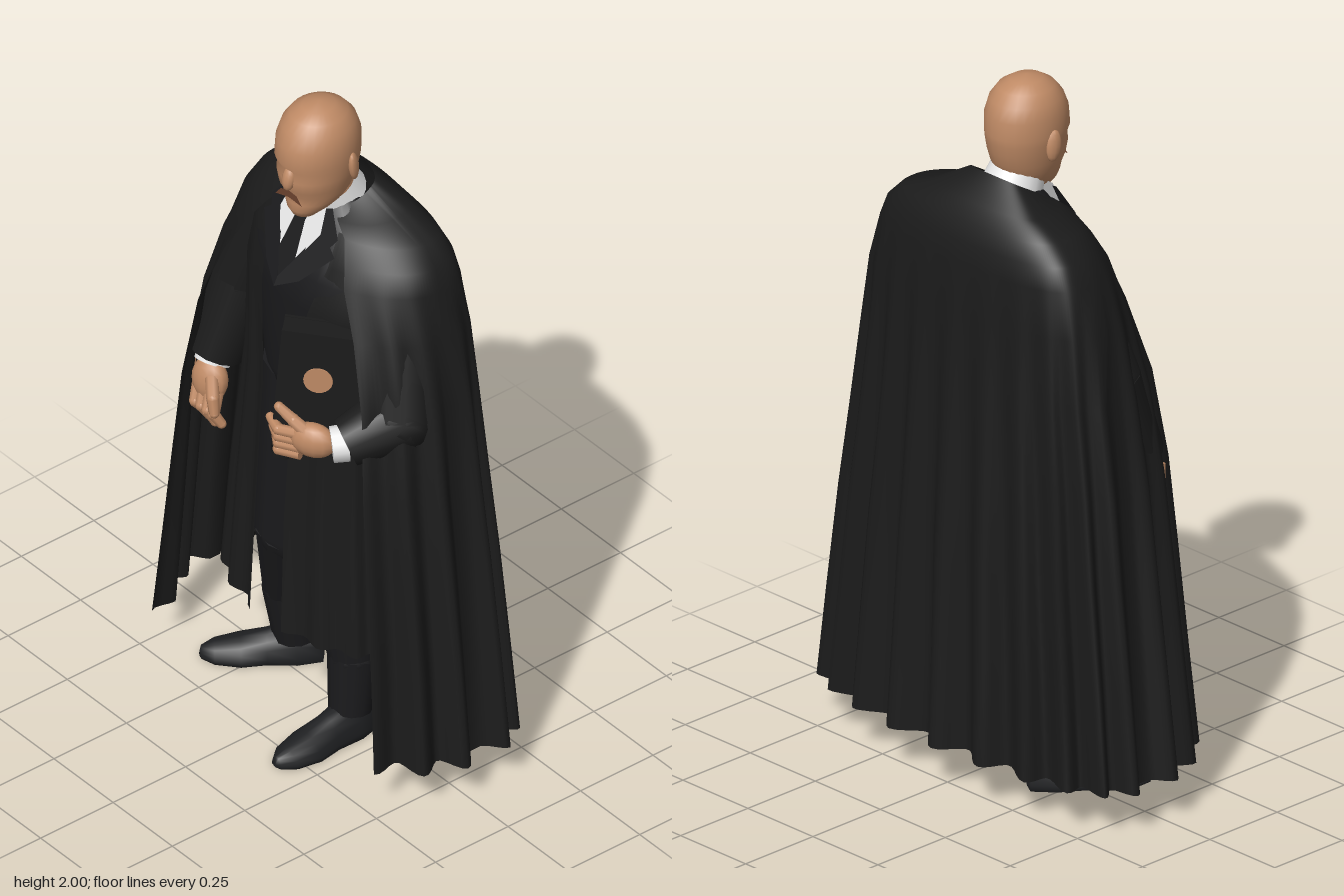
import * as THREE from 'three';
import { mergeVertices } from 'three/addons/utils/BufferGeometryUtils.js';

const mat = (name, color) => {
  const m = new THREE.MeshStandardMaterial({ color, side: THREE.DoubleSide });
  m.name = name;
  return m;
};
const V = (p) => new THREE.Vector3(...p);

// Surface through rows, bottom to top: [y, centreX, halfWidth, zBack, zFront, sweepDegrees, dropTowardsFront]
// mid says how far from back to front the widest point lies
function loft(rows, { n = 28, folds = 0, amp = 0, fadeTop = 1.45, square = 1, mid = 0.5 } = {}) {
  const pos = [], idx = [];
  rows.forEach(([y, cx, w, zb, zf, sweep = 180, drop = 0], r) => {
    const zc = zb + (zf - zb) * mid;
    const a = amp * Math.pow(THREE.MathUtils.clamp((fadeTop - y) / (fadeTop - rows[0][0]), 0, 1), 0.75);
    for (let i = 0; i <= n; i++) {
      const u = i / n, t = THREE.MathUtils.degToRad((u * 2 - 1) * sweep);
      const s = Math.sin(t), c = Math.cos(t), f = a * Math.cos(u * Math.PI * 2 * folds);
      const z = zc - (c > 0 ? Math.pow(c, square) * (zc - zb) : c * (zf - zc)) - c * f;
      pos.push(cx + s * (w + f), y - drop * (z - zb), z);
      if (r && i) {
        const b = r * (n + 1) + i, d = b - n - 1;
        idx.push(d - 1, b - 1, d, b - 1, b, d);
      }
    }
  });
  let g = new THREE.BufferGeometry();
  g.setAttribute('position', new THREE.Float32BufferAttribute(pos, 3));
  g.setIndex(idx);
  g = mergeVertices(g, 1e-4);
  g.computeVertexNormals();
  return g;
}

function outline(points) {
  return new THREE.ShapeGeometry(new THREE.Shape(points.map(([x, y]) => new THREE.Vector2(x, y))));
}

export function createModel() {
  const robe = mat('black robe cloth', 0x1b1b1b);
  const suit = mat('charcoal suit', 0x1a1a1c);
  const leather = mat('dark shoe leather', 0x1e1f21);
  const skin = mat('skin', 0xbf8a65);
  const white = mat('white linen and paper', 0xe6e6e6);
  const brown = mat('mouth brown', 0x6b422e);

  const model = new THREE.Group();
  model.name = 'robedMan';
  const add = (name, geo, m, parent = model, p = [0, 0, 0], r = [0, 0, 0], s = [1, 1, 1]) => {
    const mesh = new THREE.Mesh(geo, m);
    mesh.name = name;
    mesh.position.set(...p);
    mesh.rotation.set(...r);
    mesh.scale.set(...s);
    parent.add(mesh);
    return mesh;
  };
  const group = (name, p = [0, 0, 0], r = [0, 0, 0], parent = model) => {
    const g = new THREE.Group();
    g.name = name;
    g.position.set(...p);
    g.rotation.set(...r);
    parent.add(g);
    return g;
  };
  // Tapered limb through joints [x, y, z, radius]
  const limb = (name, joints, m, parent = model, seg = 12) => {
    const g = group(name, [0, 0, 0], [0, 0, 0], parent);
    joints.forEach((j, i) => {
      if (i < joints.length - 1) {
        const a = V(j.slice(0, 3)), b = V(joints[i + 1].slice(0, 3)), d = b.clone().sub(a);
        const part = add(name + 'Part', new THREE.CylinderGeometry(joints[i + 1][3], j[3], d.length(), seg), m, g);
        part.position.copy(a).addScaledVector(d, 0.5);
        part.quaternion.setFromUnitVectors(new THREE.Vector3(0, 1, 0), d.normalize());
        if (i) add(name + 'Joint', new THREE.SphereGeometry(j[3], seg, 8), m, g, j.slice(0, 3));
      } else if (m === skin) add(name + 'Tip', new THREE.SphereGeometry(j[3], seg, 6), m, g, j.slice(0, 3));
    });
    return g;
  };

  // Pleated cape, open at the front, neckline dropping forwards
  add('cape', loft([
    [0.12, 0, 0.58, -0.28, 0.35, 130], [0.4, 0, 0.55, -0.272, 0.335, 130],
    [0.7, 0, 0.515, -0.265, 0.325, 130], [0.95, -0.005, 0.485, -0.258, 0.31, 130],
    [1.2, -0.005, 0.45, -0.25, 0.275, 131], [1.4, -0.005, 0.415, -0.243, 0.205, 139],
    [1.53, -0.005, 0.375, -0.233, 0.155, 147], [1.59, 0, 0.345, -0.22, 0.12, 150],
    [1.64, 0, 0.295, -0.2, 0.085, 152], [1.685, -0.01, 0.2, -0.17, 0.06, 152, 0.12],
    [1.75, -0.01, 0.1, -0.108, 0.035, 145, 0.6],
  ], { n: 144, folds: 16, amp: 0.032, square: 0.55, mid: 0.39 }), robe);

  // Open gown under the cape
  add('gown', loft([
    [0.33, -0.03, 0.33, -0.15, 0.19, 169], [0.7, -0.03, 0.3, -0.15, 0.178, 169],
    [1.1, -0.02, 0.265, -0.15, 0.165, 167], [1.4, -0.01, 0.28, -0.16, 0.16, 160],
    [1.55, -0.01, 0.27, -0.15, 0.12, 152], [1.64, -0.01, 0.2, -0.12, 0.075, 145],
  ], { n: 96, folds: 15, amp: 0.014, fadeTop: 1.4 }), robe);

  // Suit jacket body
  add('jacket', loft([
    [1.02, -0.02, 0.01, 0, 0.01], [1.03, -0.02, 0.18, -0.11, 0.12], [1.1, -0.02, 0.2, -0.12, 0.13],
    [1.4, -0.01, 0.24, -0.14, 0.155], [1.5, -0.01, 0.25, -0.14, 0.143], [1.6, -0.01, 0.21, -0.13, 0.092],
    [1.67, -0.01, 0.12, -0.1, 0.055], [1.7, -0.01, 0.075, -0.08, 0.03],
  ]), suit);

  // Shirt front, tie and lapels lie on one sloping plane
  const chest = group('chestFront', [-0.02, 1.47, 0.16], [-0.44, 0, 0]);
  add('shirtFront', outline([[0, 0], [0.085, 0.17], [0.07, 0.25], [-0.07, 0.25], [-0.085, 0.17]]), white, chest);
  add('tie', outline([[0, 0], [0.035, 0.07], [0.02, 0.18], [0.028, 0.215], [-0.028, 0.215], [-0.02, 0.18], [-0.035, 0.07]]),
    suit, chest, [0, 0, 0.005]);
  for (const s of [-1, 1]) {
    const pts = [[0, -0.03], [s * 0.07, 0.02], [s * 0.15, 0.13], [s * 0.125, 0.15], [s * 0.14, 0.18],
      [s * 0.09, 0.25], [s * 0.068, 0.24], [s * 0.07, 0.15], [0, 0]];
    add('lapel', outline(pts), suit, chest, [0, 0, 0.008], [0, s * 0.15, 0]);
  }
  add('shirtCollar', new THREE.CylinderGeometry(0.077, 0.088, 0.06, 20, 1, true), white, model, [-0.01, 1.7, -0.012], [0.45, 0, 0]);
  add('neck', new THREE.CylinderGeometry(0.068, 0.072, 0.2, 18), skin, model, [-0.01, 1.72, -0.005], [0.2, 0, 0]);

  // Bald head, turned a little to its left
  const head = group('head', [-0.012, 0, 0.035], [0, 0.15, 0]);
  add('skull', loft([
    [1.662, 0, 0.003, 0.06, 0.07], [1.668, 0, 0.035, 0.01, 0.088], [1.69, 0, 0.058, -0.05, 0.1],
    [1.715, 0, 0.077, -0.085, 0.1], [1.74, 0, 0.087, -0.1, 0.1], [1.765, 0, 0.094, -0.112, 0.115],
    [1.8, 0, 0.102, -0.122, 0.12], [1.83, 0, 0.105, -0.127, 0.115], [1.85, 0, 0.108, -0.129, 0.126],
    [1.9, 0, 0.107, -0.127, 0.12], [1.94, 0, 0.096, -0.113, 0.103], [1.97, 0, 0.075, -0.088, 0.078],
    [1.99, 0, 0.043, -0.053, 0.045], [2.0, 0, 0, -0.005, -0.005],
  ]), skin, head);
  add('nose', new THREE.SphereGeometry(1, 12, 10), skin, head, [0, 1.807, 0.112], [-0.25, 0, 0], [0.02, 0.038, 0.02]);
  add('mouth', outline([[-0.048, -0.018], [-0.028, 0.008], [0, 0.014], [0.028, 0.008], [0.048, -0.018], [0, -0.008]]),
    brown, head, [0, 1.752, 0.115]);
  for (const s of [-1, 1])
    add('ear', new THREE.SphereGeometry(0.045, 10, 8), skin, head, [s * 0.108, 1.825, -0.025], [0.15, s * 0.4, 0], [0.28, 1, 0.5]);

  // Trousers
  limb('rightTrouser', [[-0.1, 1.08, 0, 0.12], [-0.145, 0.5, 0, 0.115], [-0.21, 0.24, -0.03, 0.076], [-0.205, 0.07, -0.05, 0.065]], suit);
  limb('leftTrouser', [[0.06, 1.08, 0, 0.12], [0.09, 0.5, 0.02, 0.115], [0.135, 0.24, 0.03, 0.072], [0.145, 0.07, 0.05, 0.06]], suit);

  // Shoes: lofted heel to toe, then laid flat with a level sole
  const shoeGeo = loft([
    [-0.075, 0, 0.003, -0.03, 0.03], [-0.07, 0, 0.045, -0.09, 0.09], [0, 0, 0.06, -0.11, 0.11],
    [0.08, 0, 0.055, -0.08, 0.08], [0.15, 0, 0.064, -0.06, 0.06], [0.22, 0, 0.048, -0.045, 0.045],
    [0.255, 0, 0.02, -0.03, 0.03], [0.26, 0, 0.003, -0.01, 0.01],
  ], { n: 18 }).rotateX(Math.PI / 2);
  const sp = shoeGeo.attributes.position;
  for (let i = 0; i < sp.count; i++) sp.setY(i, Math.max(0, sp.getY(i)));
  shoeGeo.computeVertexNormals();
  add('rightShoe', shoeGeo, leather, model, [-0.205, 0, -0.05], [0, -0.65, 0]);
  add('leftShoe', shoeGeo, leather, model, [0.145, 0, 0.055], [0, 0.03, 0]);

  // Sleeves and cuffs
  limb('rightSleeve', [[-0.26, 1.53, -0.05, 0.09], [-0.35, 1.22, 0, 0.1], [-0.375, 0.98, 0.09, 0.078]], robe);
  limb('leftSleeve', [[0.26, 1.53, -0.05, 0.09], [0.345, 1.16, 0.04, 0.1], [0.285, 1.1, 0.18, 0.07]], robe);
  limb('rightCuff', [[-0.374, 0.99, 0.088, 0.054], [-0.37, 0.955, 0.107, 0.052]], white);
  limb('leftCuff', [[0.288, 1.1, 0.175, 0.052], [0.264, 1.096, 0.212, 0.05]], white);

  // Right hand hanging, fingers curled
  const rh = group('rightHand');
  add('palm', new THREE.SphereGeometry(0.06, 14, 10), skin, rh, [-0.35, 0.92, 0.13], [-0.2, 0.3, 0.2], [0.9, 1.1, 0.6]);
  for (let i = 0; i < 4; i++) {
    const x = -0.385 + i * 0.026;
    limb('finger', [[x, 0.9, 0.14, 0.018], [x + 0.015, 0.85, 0.165, 0.017], [x + 0.03, 0.812 + Math.abs(i - 2) * 0.008, 0.15, 0.014]], skin, rh, 8);
  }
  limb('thumb', [[-0.33, 0.94, 0.14, 0.019], [-0.295, 0.9, 0.165, 0.018], [-0.283, 0.86, 0.17, 0.014]], skin, rh, 8);
  add('cuffLink', new THREE.BoxGeometry(0.012, 0.06, 0.02), skin, model, [-0.44, 0.935, 0.12]);

  // Bound book held against the chest, page edges showing on one side
  const book = group('book', [0.165, 1.245, 0.157], [0, 0.76, -0.08, 'YXZ']);
  add('pages', new THREE.BoxGeometry(0.235, 0.3, 0.056), white, book, [-0.004, 0, 0]);
  for (const s of [-1, 1]) {
    add('cover', new THREE.BoxGeometry(0.245, 0.315, 0.009), robe, book, [0, 0, s * 0.032]);
    add('bookEnd', new THREE.BoxGeometry(0.243, 0.008, 0.066), robe, book, [0, s * 0.152, 0]);
  }
  add('spine', new THREE.BoxGeometry(0.008, 0.315, 0.072), robe, book, [0.121, 0, 0]);
  add('roundEmblem', new THREE.CylinderGeometry(0.04, 0.04, 0.004, 20), skin, book, [-0.012, 0.008, 0.0385], [Math.PI / 2, 0, 0]);
  add('hangingFlap', new THREE.CylinderGeometry(0.03, 0.035, 0.15, 6), robe, model, [0.07, 1.03, 0.215], [0, 0, -0.1]);

  // Left hand wrapped under the book
  const lh = group('leftHand');
  add('palm', new THREE.SphereGeometry(0.058, 14, 10), skin, lh, [0.205, 1.085, 0.228], [0, 0.5, 0], [1.15, 0.9, 0.65]);
  for (let i = 0; i < 4; i++) {
    const y = 1.1 - i * 0.022;
    limb('finger', [[0.18, y, 0.25, 0.017], [0.12, y - 0.005, 0.278, 0.016], [0.07 + i * 0.012, y + 0.002, 0.265, 0.013]], skin, lh, 8);
  }
  limb('thumb', [[0.2, 1.11, 0.24, 0.02], [0.155, 1.135, 0.255, 0.018], [0.115, 1.165, 0.272, 0.014]], skin, lh, 8);

  return model;
}
